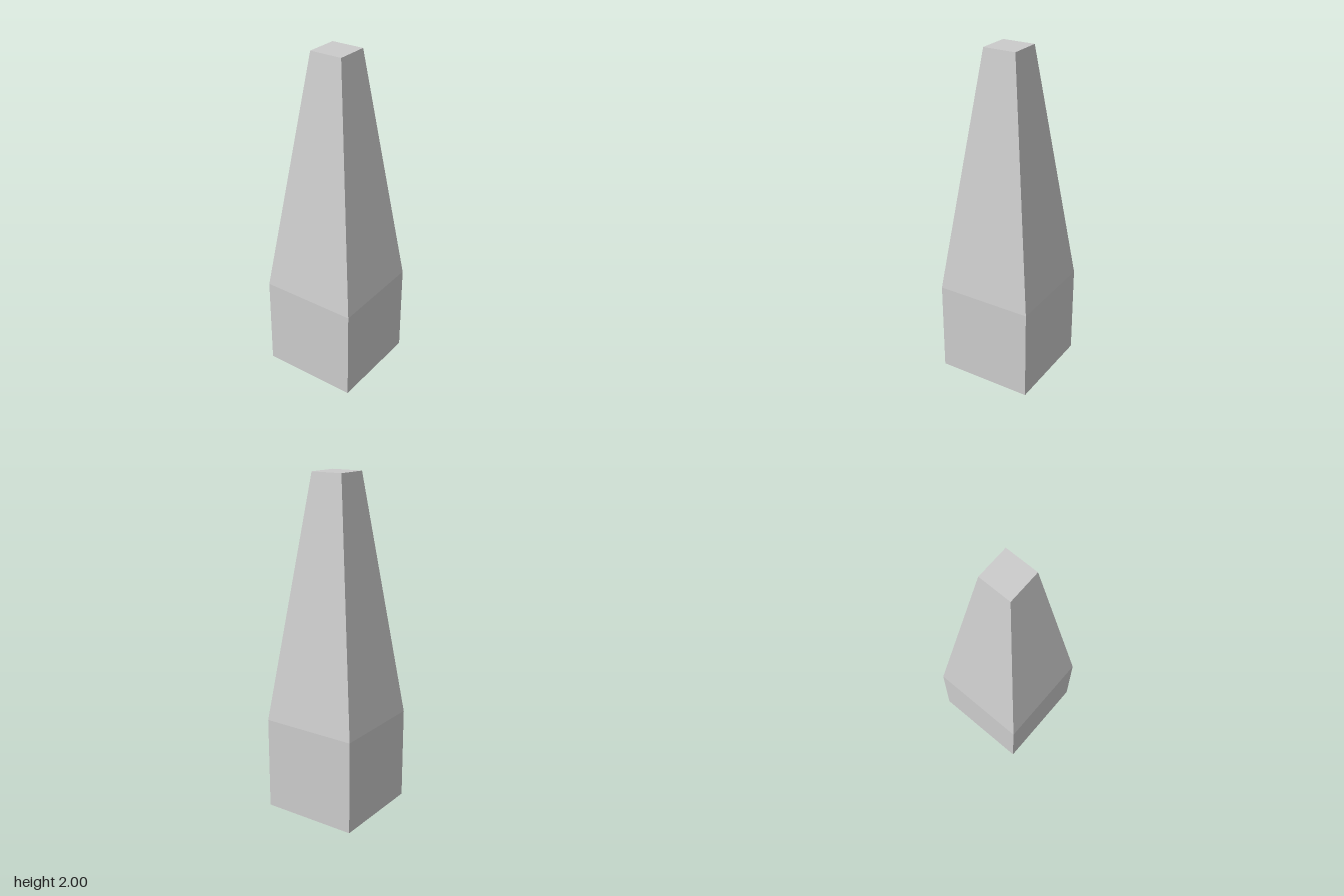
import * as THREE from 'three';

const BASE_HALF = 0.292, TOP_HALF = 0.099, SHOULDER_Y = 0.56, HEIGHT = 2;

// Square post: straight base block, then a long taper to a small flat top
function taperedPost() {
  const geometry = new THREE.BoxGeometry(2, 2, 2, 1, 2, 1);
  const p = geometry.attributes.position;
  for (let i = 0; i < p.count; i++) {
    const level = p.getY(i); // -1 foot, 0 shoulder, 1 top
    const half = level > 0.5 ? TOP_HALF : BASE_HALF;
    const y = level < -0.5 ? 0 : level > 0.5 ? HEIGHT : SHOULDER_Y;
    p.setXYZ(i, p.getX(i) * half, y, p.getZ(i) * half);
  }
  const flat = geometry.toNonIndexed();
  flat.computeVertexNormals();
  return flat;
}

export function createModel() {
  const group = new THREE.Group();
  group.name = 'obelisk';
  const material = new THREE.MeshStandardMaterial({ color: 0xcccccc, flatShading: true });
  const post = new THREE.Mesh(taperedPost(), material);
  post.name = 'taperedPost';
  group.add(post);
  return group;
}
